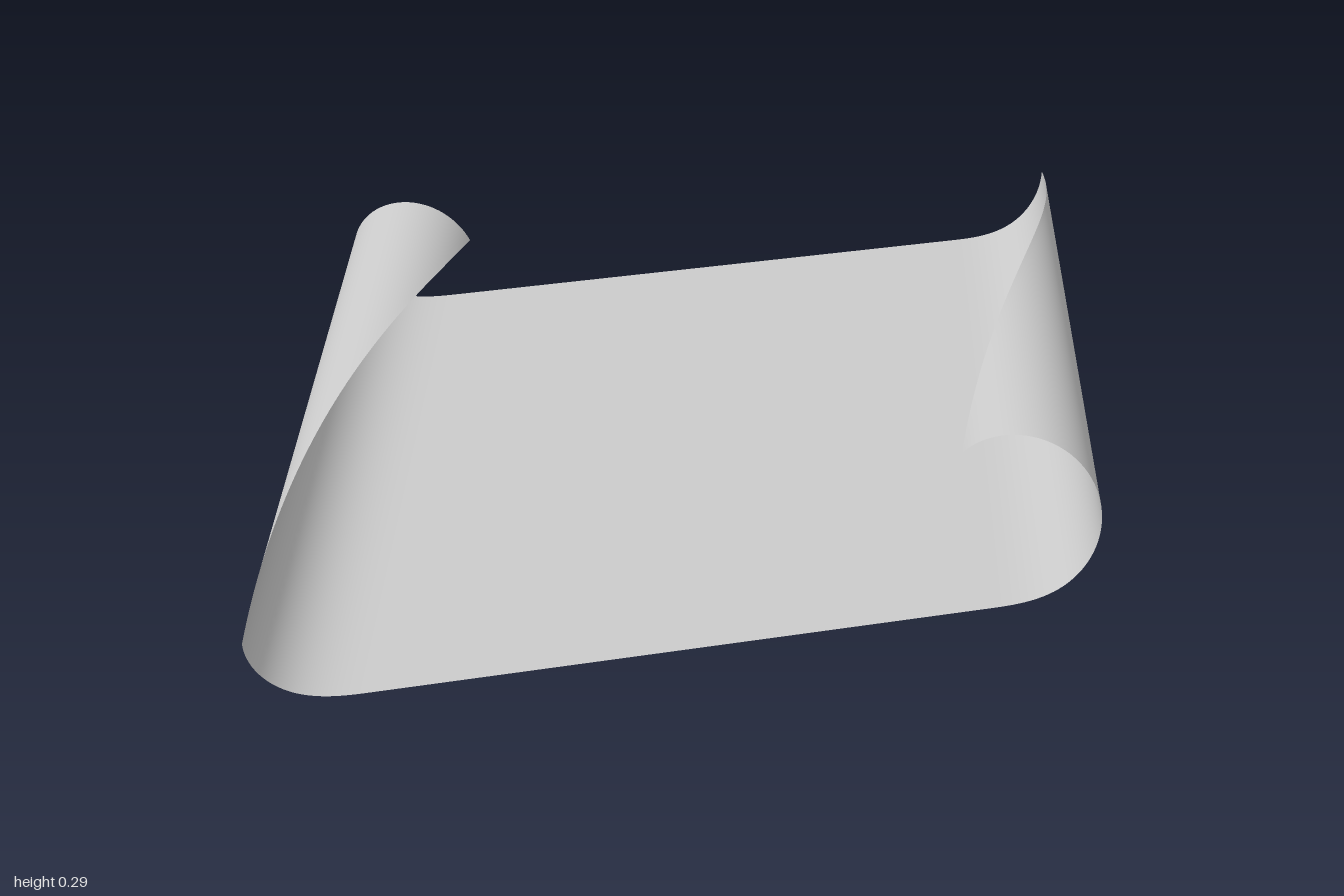
import * as THREE from 'three';

// Roll axis is slightly skewed: N points across the roll, D along it.
const TILT = 0.269;
const N = [Math.cos(TILT), Math.sin(TILT)];
const D = [Math.sin(TILT), -Math.cos(TILT)];
const FLAT = 0.553, RAMP = 0.14, RADIUS = 0.142;

// Profile of the curl: flat, then curvature ramps up to a constant radius.
function curl(length) {
  if (length <= FLAT) return [length, 0];
  const steps = 60, h = (length - FLAT) / steps;
  let s = FLAT, y = 0;
  for (let i = 0; i < steps; i++) {
    const a = (i + 0.5) * h;
    const angle = a < RAMP ? (a * a) / (2 * RAMP * RADIUS) : (a - RAMP / 2) / RADIUS;
    s += Math.cos(angle) * h;
    y += Math.sin(angle) * h;
  }
  return [s, y];
}

export function createModel() {
  const group = new THREE.Group();
  group.name = 'curledSheet';

  // One thin sheet with both side edges rolled up and inward.
  const halfDepth = 0.76;
  const geometry = new THREE.PlaneGeometry(2, 2, 180, 80);
  geometry.rotateX(-Math.PI / 2);
  const pos = geometry.attributes.position;
  for (let i = 0; i < pos.count; i++) {
    const u = pos.getX(i), v = pos.getZ(i);
    const side = u < 0 ? -1 : 1;
    const halfWidth = 1.06 - 0.02 * v * side + (side < 0 ? 0.01 : 0);
    const x = u * halfWidth, z = v * halfDepth;
    const across = x * N[0] + z * N[1];
    const along = x * D[0] + z * D[1];
    const [s, y] = curl(Math.abs(across));
    const q = Math.sign(across) * s;
    pos.setXYZ(i, q * N[0] + along * D[0], y, q * N[1] + along * D[1]);
  }
  geometry.computeVertexNormals();

  const sheet = new THREE.Mesh(
    geometry,
    new THREE.MeshStandardMaterial({ color: 0xcccccc, side: THREE.DoubleSide })
  );
  sheet.name = 'sheet';
  group.add(sheet);
  return group;
}
